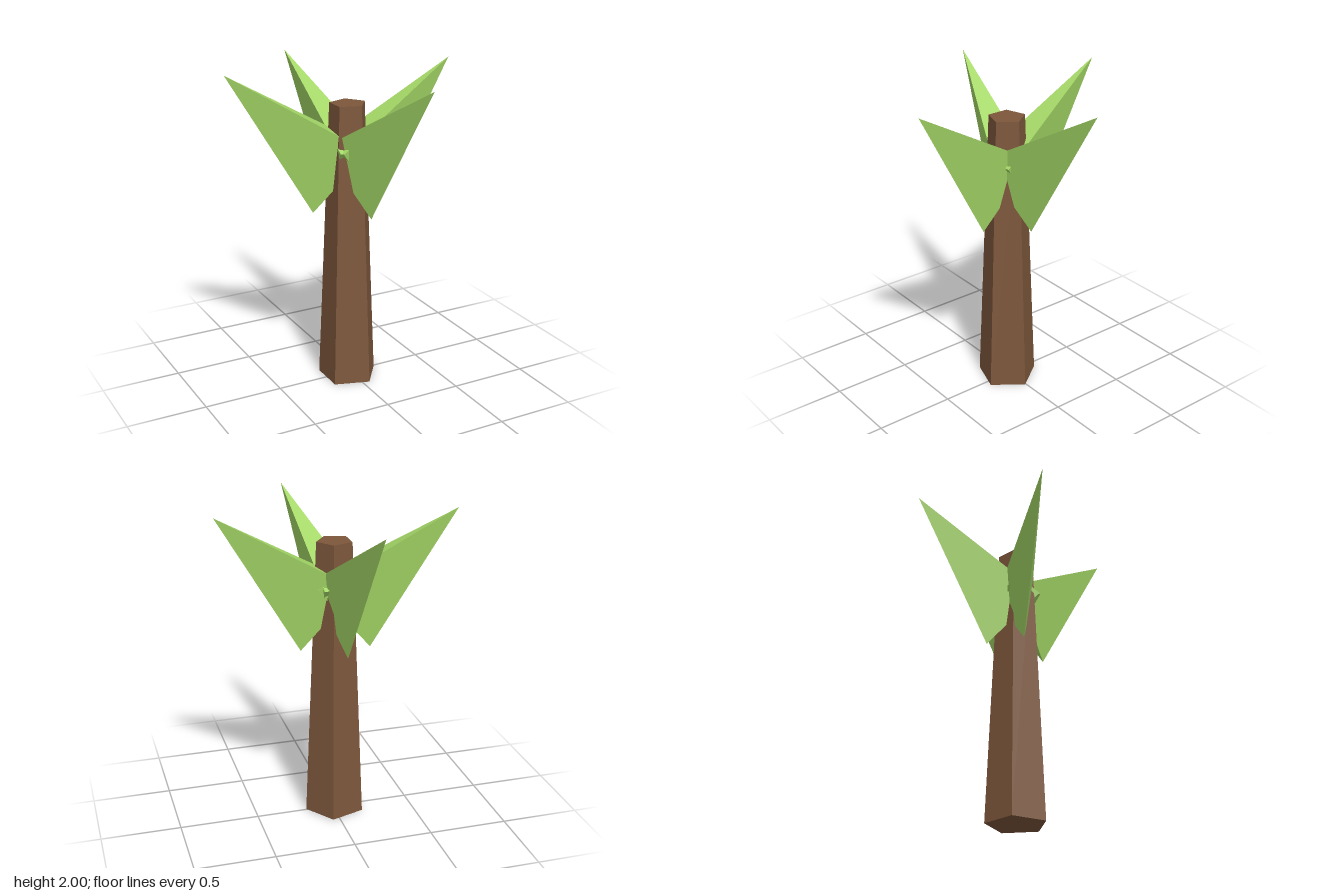
import * as THREE from 'three';

export function createModel() {
  const model = new THREE.Group();
  model.name = 'palmTree';

  const bark = new THREE.MeshStandardMaterial({ color: 0x7d573b, flatShading: true });
  bark.name = 'bark';
  const green = new THREE.MeshStandardMaterial({ color: 0xa3d666, flatShading: true });
  green.name = 'leafGreen';

  // Tapered five-sided trunk with one corner towards +x
  const trunk = new THREE.Mesh(
    new THREE.CylinderGeometry(0.114, 0.191, 1.8, 5, 1, false, Math.PI / 2), bark);
  trunk.name = 'trunk';
  trunk.position.set(-0.015, 0.9, 0.006);
  model.add(trunk);

  // Three-sided spike: tip, two upper corners beyond the trunk, low keel corner
  const leafGeometry = new THREE.BufferGeometry();
  leafGeometry.setAttribute('position', new THREE.Float32BufferAttribute([
    0.735, 2, 0,
    -0.1, 1.522, -0.118,
    -0.1, 1.522, 0.118,
    0.22, 1.12, 0,
  ], 3));
  leafGeometry.setIndex([0, 1, 2, 0, 2, 3, 0, 3, 1, 1, 3, 2]);
  const flatLeaf = leafGeometry.toNonIndexed();
  flatLeaf.computeVertexNormals();

  // Four leaves, turned unevenly around the trunk
  const leaves = new THREE.Group();
  leaves.name = 'leaves';
  leaves.position.set(-0.015, 0, 0.006);
  [['leftLeaf', 3.6], ['backLeaf', 95.8], ['rightLeaf', 164.6], ['frontLeaf', -78.2]]
    .forEach(([name, degrees]) => {
      const leaf = new THREE.Mesh(flatLeaf, green);
      leaf.name = name;
      leaf.rotation.y = THREE.MathUtils.degToRad(degrees);
      leaves.add(leaf);
    });
  model.add(leaves);

  return model;
}
